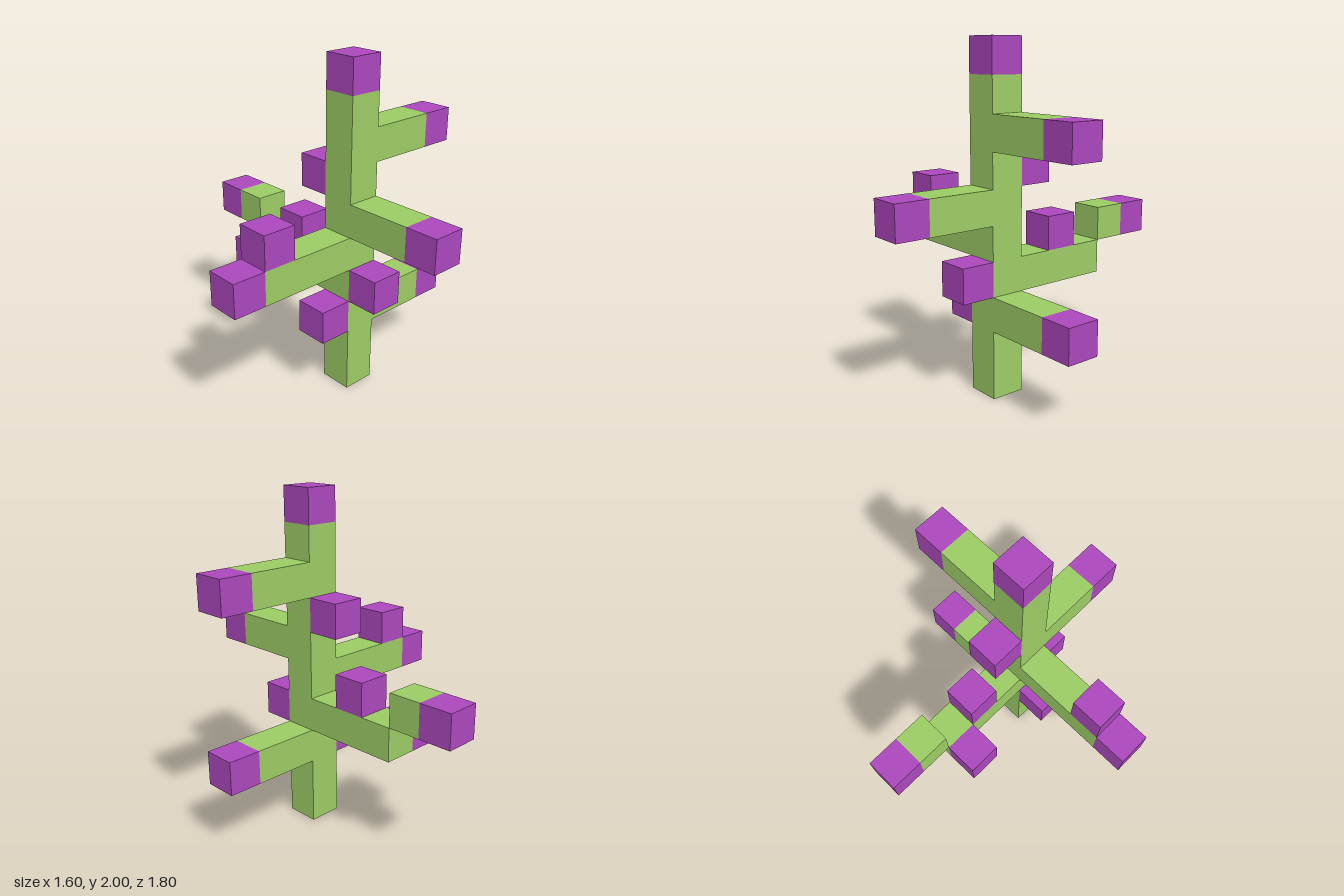
import * as THREE from 'three';

const U = 0.2; // side of one cube

export function createModel() {
  const model = new THREE.Group();
  model.name = 'blockPlant';

  const stemGreen = new THREE.MeshStandardMaterial({ color: 0x9ccc65 });
  stemGreen.name = 'stemGreen';
  const flowerPurple = new THREE.MeshStandardMaterial({ color: 0xab47bc });
  flowerPurple.name = 'flowerPurple';

  // Cell (0, 0, 0) is the foot of the trunk; sizes and positions count in cubes.
  function block(name, material, [i, j, k], [w, h, d] = [1, 1, 1]) {
    const mesh = new THREE.Mesh(new THREE.BoxGeometry(w * U, h * U, d * U), material);
    mesh.name = name;
    mesh.position.set((i + w / 2) * U, (j + h / 2) * U, 0.1 + (k + d / 2) * U);
    model.add(mesh);
  }

  // Trunk and branches: lowest corner cell, then size
  block('trunk', stemGreen, [0, 0, 0], [1, 9, 1]);
  block('lowerLeftBranch', stemGreen, [1, 2, 0], [2, 1, 1]);
  block('upperLeftBranch', stemGreen, [1, 7, 0], [2, 1, 1]);
  block('rightBranch', stemGreen, [-3, 4, 0], [3, 1, 1]);
  block('frontBranch', stemGreen, [0, 5, 1], [1, 1, 2]);
  block('backBranch', stemGreen, [0, 3, -3], [1, 1, 3]);
  block('backBranchStep', stemGreen, [0, 4, -4]);

  // Flowers at the tips and along the stems
  const flowers = {
    topFlower: [0, 9, 0],
    lowerLeftFlower: [3, 2, 0],
    upperLeftFlower: [3, 7, 0],
    rightTipFlower: [-4, 4, 0],
    rightUpperFlower: [-3, 5, 0],
    trunkRightFlower: [-1, 2, 0],
    trunkFrontFlower: [0, 3, 1],
    trunkBackFlower: [0, 6, -1],
    frontTipFlower: [0, 5, 3],
    backUpperFlower: [0, 4, -2],
    backSideFlower: [-1, 3, -3],
    backTipFlower: [0, 4, -5],
  };
  for (const [name, cell] of Object.entries(flowers)) block(name, flowerPurple, cell);

  return model;
}
